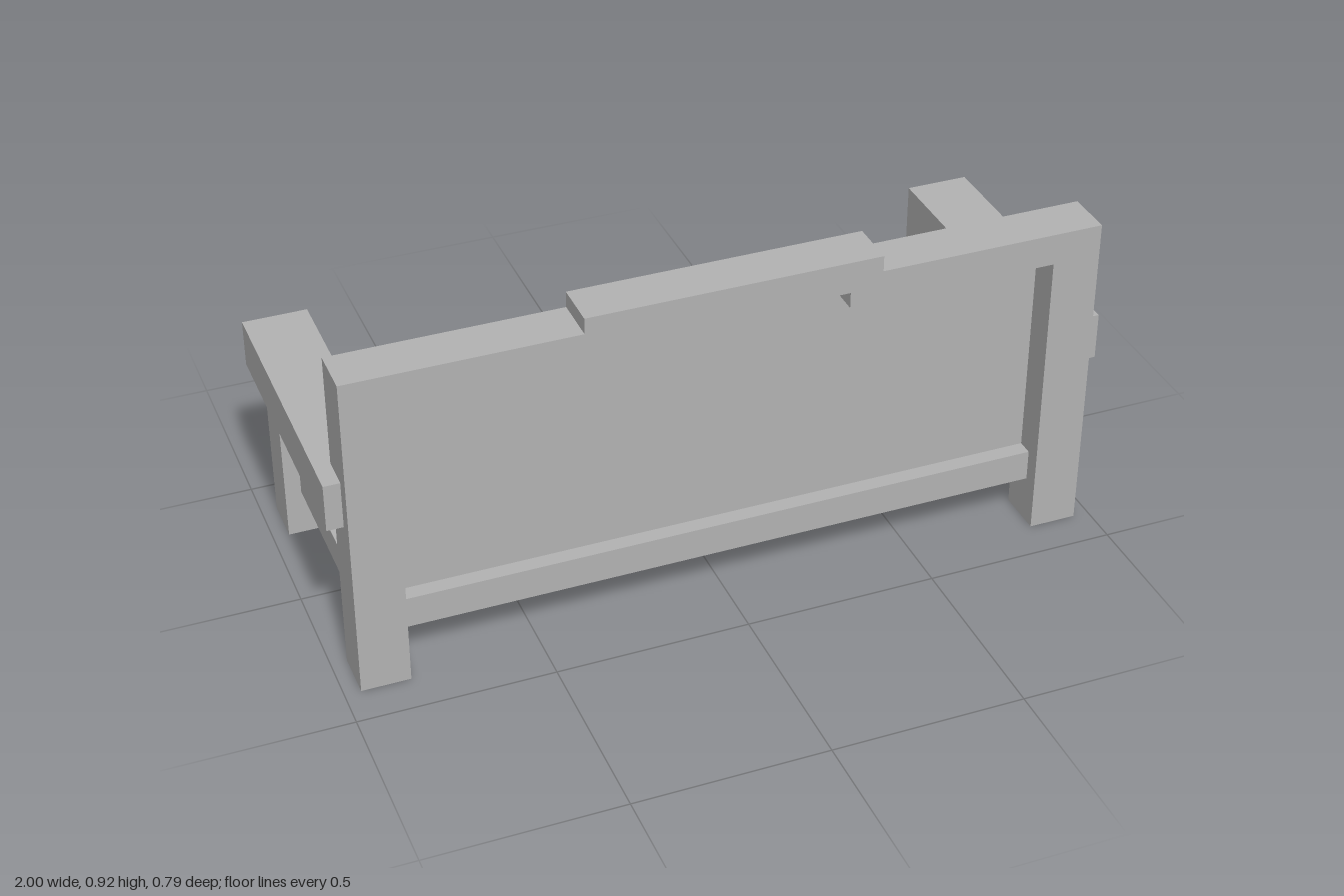
import * as THREE from 'three';

// All sizes are in grid units; 24 units = 1 model unit.
const U = 1 / 24;

export function createModel() {
  const sofa = new THREE.Group();
  sofa.name = 'sofa';
  const grey = new THREE.MeshStandardMaterial({ color: 0xb2b2b2 });
  grey.name = 'plain grey';

  function add(name, geometry) {
    geometry.scale(U, U, U);
    const mesh = new THREE.Mesh(geometry, grey);
    mesh.name = name;
    sofa.add(mesh);
  }

  // Box given by its low and high corners
  function block(name, x0, x1, y0, y1, z0, z1) {
    const g = new THREE.BoxGeometry(x1 - x0, y1 - y0, z1 - z0);
    g.translate((x0 + x1) / 2, (y0 + y1) / 2, (z0 + z1) / 2);
    add(name, g);
  }

  function extrude(points, depth) {
    const shape = new THREE.Shape(points.map(([x, y]) => new THREE.Vector2(x, y)));
    return new THREE.ExtrudeGeometry(shape, { depth, bevelEnabled: false });
  }

  // Mirrors the right-hand half of an outline
  const mirrored = (half) => [...half, ...half.map(([x, y]) => [-x, y]).reverse()];

  // Back frame: two posts and a stepped top rail
  const frame = extrude(mirrored([
    [7, 20], [7, 19], [20, 19], [20, 0], [23, 0], [23, 21], [9, 21], [9, 22],
  ]), 3);
  frame.translate(0, 0, 6.5);
  add('backFrame', frame);

  // Backrest with a raised centre, set into the frame
  const backrest = extrude(mirrored([[20, 5], [20, 19], [7, 19], [7, 20]]), 4);
  backrest.translate(0, 0, 3.5);
  add('backrest', backrest);

  // Base rail and seat
  block('baseRail', -22, 22, 3, 5, -8.5, 8.5);
  block('seat', -20, 20, 5, 9, -7.5, 3.5);

  for (const s of [1, -1]) {
    const side = s > 0 ? 'left' : 'right';
    const range = (a, b) => (s > 0 ? [a, b] : [-b, -a]);
    block(side + 'FrontPost', ...range(20, 23), 0, 11, -9.5, -6.5);
    block(side + 'SidePanel', ...range(20, 21), 5, 11, -7.5, 7.5);

    // Armrest, notched around the back post
    const arm = extrude([
      [20, 9.5], [20, -6.5], [23, -6.5], [23, -8.5], [24, -8.5], [24, 9.5],
    ].map(([x, y]) => [s * x, y]), 3);
    arm.rotateX(-Math.PI / 2);
    arm.translate(0, 11, 0);
    add(side + 'Armrest', arm);
  }

  return sofa;
}
